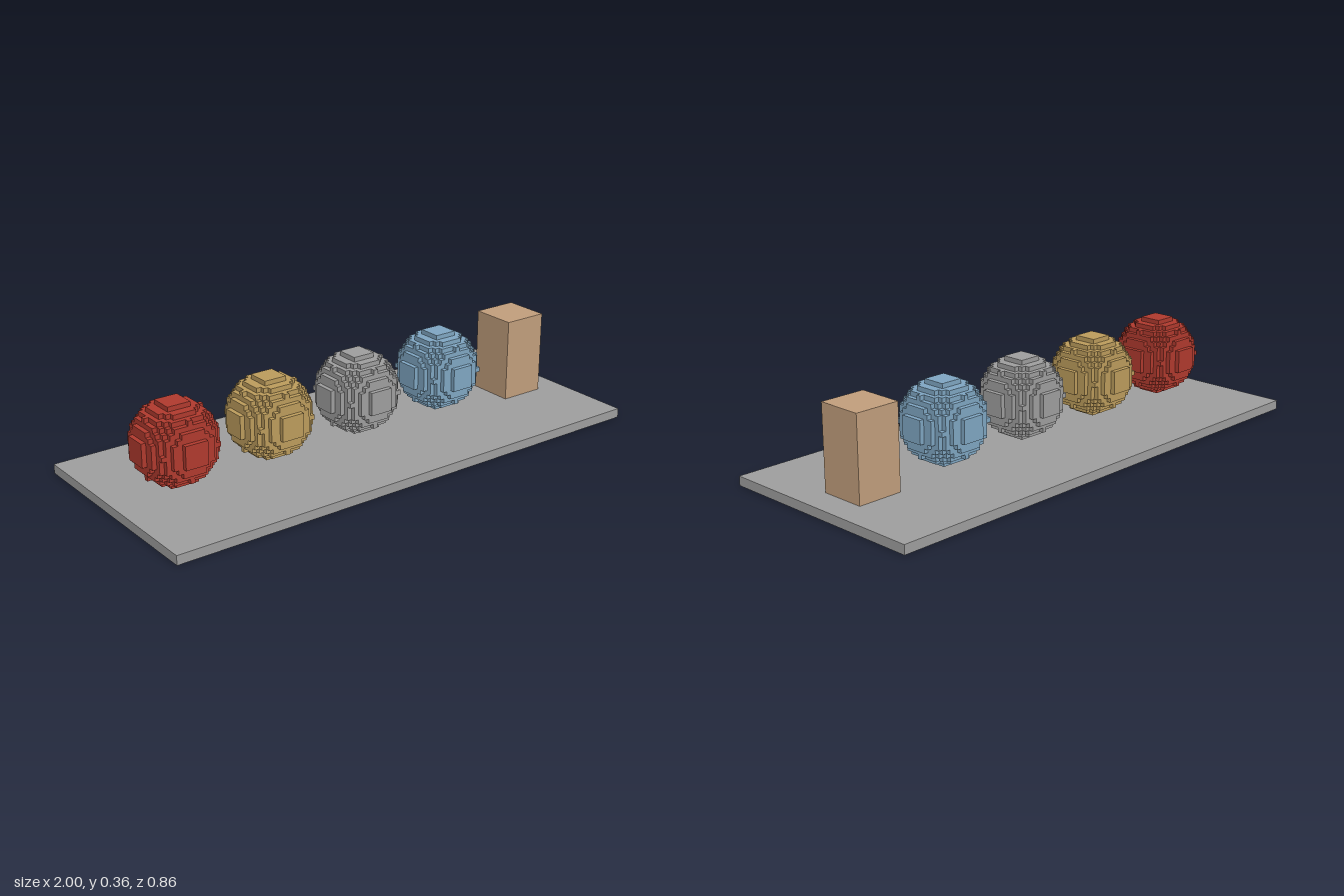
import * as THREE from 'three';
import { mergeGeometries } from 'three/addons/utils/BufferGeometryUtils.js';

const CELL = 1 / 56; // edge of one voxel
const RADIUS = 8.5; // ball radius in voxels

const material = (name, color) => {
  const m = new THREE.MeshStandardMaterial({ color });
  m.name = name;
  return m;
};

// Stepped ball: one outer square per voxel column, seen along each of six directions
function voxelBall() {
  const squares = [];
  for (let a = -8; a <= 8; a++) {
    for (let b = -8; b <= 8; b++) {
      const rest = RADIUS * RADIUS - a * a - b * b;
      if (rest < 0) continue;
      squares.push(new THREE.PlaneGeometry(1, 1).translate(a, b, Math.floor(Math.sqrt(rest)) + 0.5));
    }
  }
  const side = mergeGeometries(squares);
  const sides = [];
  for (let i = 0; i < 4; i++) sides.push(side.clone().rotateY((i * Math.PI) / 2));
  for (const s of [-1, 1]) sides.push(side.clone().rotateX((s * Math.PI) / 2));
  return mergeGeometries(sides).scale(CELL, CELL, CELL);
}

export function createModel() {
  const model = new THREE.Group();
  model.name = 'ballsOnBoard';

  const grey = material('grey', 0x9e9e9e);
  const tan = material('tan', 0xc19e7c);

  const add = (name, geometry, mat, x, y, z) => {
    const mesh = new THREE.Mesh(geometry, mat);
    mesh.name = name;
    mesh.position.set(x, y, z).multiplyScalar(CELL);
    model.add(mesh);
  };
  const block = (w, h, d) => new THREE.BoxGeometry(w * CELL, h * CELL, d * CELL);

  // Board and upright block
  add('board', block(112, 2, 48), grey, 0, 1, 0);
  add('uprightBlock', block(10, 18, 10), tan, 45, 11, 0);

  // Row of four balls
  const ball = voxelBall();
  const balls = [
    ['redBall', material('red', 0xb03a2e)],
    ['goldBall', material('gold', 0xbc9c5c)],
    ['greyBall', grey],
    ['blueBall', material('blue', 0x7fa6c2)],
  ];
  balls.forEach(([name, mat], i) => add(name, ball, mat, -41.5 + 22 * i, 11.5, -0.5));

  return model;
}
